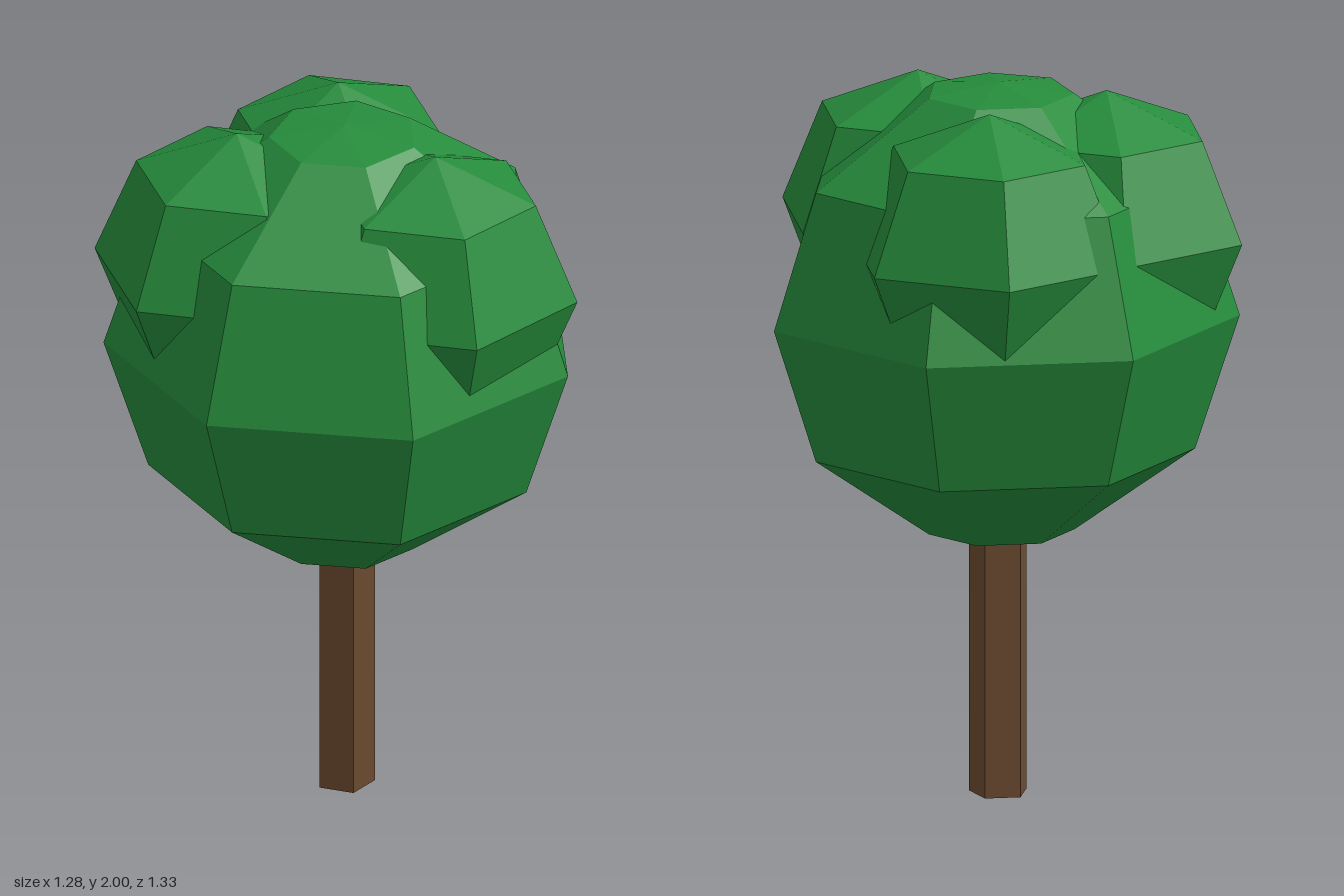
import * as THREE from 'three';

// Faceted ball: profile of [radius, y] from bottom to top, with a corner facing +z
function facetedBall(name, profile, sides, material, x, y, z) {
  const points = profile.map(([r, h]) => new THREE.Vector2(r, h));
  const mesh = new THREE.Mesh(new THREE.LatheGeometry(points, sides), material);
  mesh.name = name;
  mesh.position.set(x, y, z);
  return mesh;
}

export function createModel() {
  const leaf = new THREE.MeshStandardMaterial({ color: 0x268c3c, flatShading: true });
  leaf.name = 'leaf green';
  const bark = new THREE.MeshStandardMaterial({ color: 0x6b4a2f, flatShading: true });
  bark.name = 'bark brown';

  const tree = new THREE.Group();
  tree.name = 'tree';

  // Five-sided trunk, its top hidden inside the crown
  const trunk = new THREE.Mesh(new THREE.CylinderGeometry(0.083, 0.083, 0.8, 5), bark);
  trunk.name = 'trunk';
  trunk.position.set(0, 0.4, 0.012);
  tree.add(trunk);

  // Seven-sided main crown
  const crownProfile = [
    [0, -0.638], [0.205, -0.613], [0.534, -0.378], [0.656, 0],
    [0.534, 0.378], [0.205, 0.613], [0, 0.642],
  ];
  tree.add(facetedBall('crown', crownProfile, 7, leaf, 0, 1.357, 0.008));

  // Three six-sided leaf clumps sunk into the top of the crown
  const clumpProfile = [[0, -0.397], [0.281, -0.281], [0.397, 0], [0.281, 0.281], [0, 0.397]];
  const clumps = [
    ['backClump', 0.067, -0.272],
    ['rightClump', -0.285, -0.06],
    ['frontClump', 0.193, 0.228],
  ];
  for (const [name, x, z] of clumps) {
    tree.add(facetedBall(name, clumpProfile, 6, leaf, x, 1.585, z));
  }
  return tree;
}
